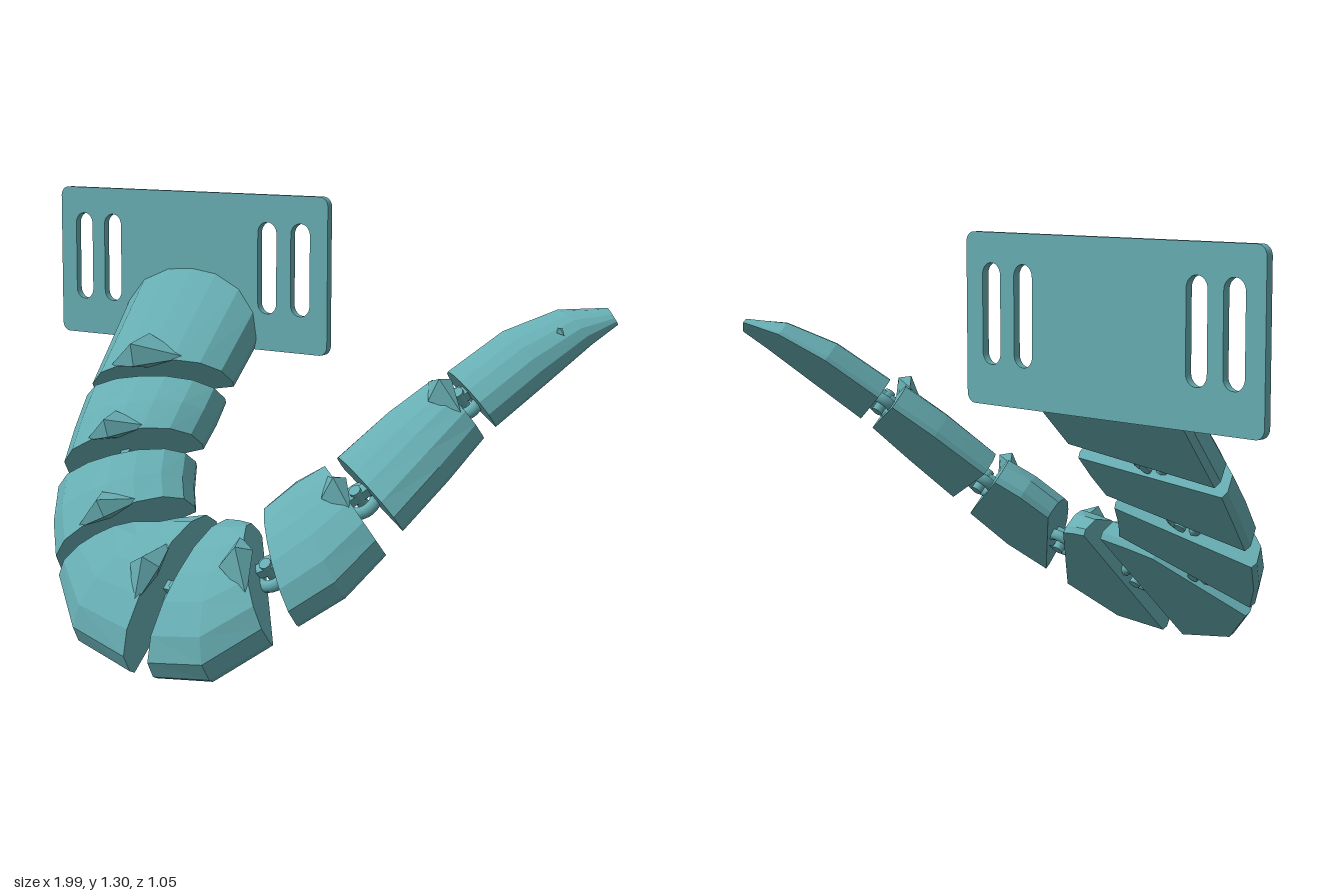
import * as THREE from 'three';
import { ConvexGeometry } from 'three/addons/geometries/ConvexGeometry.js';

const S2 = Math.SQRT2;
// arch cross-section from outer edge (-1) over the ridge to inner edge (+1), height 0..1
const ARCH = [[-0.97, 0], [-1, 0.14], [-0.94, 0.5], [-0.7, 0.8], [-0.32, 0.97], [0.04, 1],
  [0.4, 0.95], [0.74, 0.77], [0.95, 0.48], [1, 0.14], [0.97, 0]];

// tail pieces: stations of [outer x, outer y, inner x, inner y, ridge height]
const PIECES = [
  [[-0.72, 0.83, -0.18, 0.83, 0.17], [-0.67, 0.645, -0.18, 0.725, 0.165]],
  [[-0.67, 0.615, -0.175, 0.68, 0.155], [-0.635, 0.52, -0.165, 0.62, 0.165], [-0.6, 0.43, -0.165, 0.555, 0.16]],
  [[-0.575, 0.37, -0.155, 0.51, 0.145], [-0.51, 0.28, -0.115, 0.45, 0.155], [-0.43, 0.2, -0.07, 0.4, 0.15]],
  [[-0.38, 0.16, -0.145, 0.33, 0.14], [-0.22, 0.045, -0.06, 0.355, 0.15], [0.01, 0.005, 0.03, 0.375, 0.15]],
  [[0.095, 0.005, 0.1, 0.375, 0.14], [0.28, 0.025, 0.145, 0.375, 0.15], [0.41, 0.13, 0.19, 0.37, 0.15]],
  [[0.46, 0.18, 0.205, 0.42, 0.135], [0.56, 0.26, 0.26, 0.485, 0.14], [0.62, 0.37, 0.325, 0.53, 0.135]],
  [[0.635, 0.43, 0.345, 0.555, 0.12], [0.7, 0.56, 0.44, 0.675, 0.125], [0.745, 0.67, 0.53, 0.765, 0.12]],
  [[0.765, 0.7, 0.56, 0.795, 0.105], [0.86, 0.82, 0.67, 0.91, 0.1], [0.94, 0.925, 0.8, 0.985, 0.07],
    [0.99, 0.98, 0.94, 1.015, 0.025]],
];
const SPIKE_SCALE = [1, 0.78, 0.78, 0.8, 0.75, 0.6, 0.6];

// loft of arches with flat bottom and capped ends; the first end can lean to meet the plate
function loft(stations, lean) {
  const pos = [], idx = [], n = ARCH.length;
  stations.forEach(([ox, oy, ix, iy, h], s) => {
    for (const [t, k] of ARCH) {
      const f = (t + 1) / 2, w = k * h;
      pos.push(ox + (ix - ox) * f, (oy + (iy - oy) * f) * S2 + (lean && s === 0 ? w : 0), w);
    }
  });
  const last = stations.length - 1;
  for (let s = 0; s < last; s++) {
    for (let i = 0; i < n; i++) {
      const j = (i + 1) % n, a = s * n + i, b = s * n + j, c = a + n, d = b + n;
      idx.push(a, c, b, b, c, d);
    }
  }
  for (let i = 1; i < n - 1; i++) {
    idx.push(0, i, i + 1);
    idx.push(last * n, last * n + i + 1, last * n + i);
  }
  const g = new THREE.BufferGeometry();
  g.setAttribute('position', new THREE.Float32BufferAttribute(pos, 3));
  g.setIndex(idx);
  const flat = g.toNonIndexed();
  flat.computeVertexNormals();
  return flat;
}

// centre of a station on the flat underside
const centre = ([ox, oy, ix, iy]) => new THREE.Vector3((ox + ix) / 2, (oy + iy) * S2 / 2, 0);

// pointed tent-shaped barb overhanging the end of a piece
function barb(c, dir, h, s) {
  const side = new THREE.Vector3(-dir.y, dir.x, 0);
  const at = (along, across, up) => c.clone().addScaledVector(dir, along * s)
    .addScaledVector(side, across * s).setZ(h + up * s);
  return new ConvexGeometry([at(-0.02, 0.145, -0.03), at(-0.02, -0.145, -0.03), at(-0.1, 0, 0.015),
    at(0, 0, 0.085), at(0.05, 0, 0.035), at(-0.02, 0, -0.06)]);
}

function roundedRect(path, x0, y0, x1, y1, r) {
  path.moveTo(x0 + r, y0);
  path.lineTo(x1 - r, y0);
  path.absarc(x1 - r, y0 + r, r, -Math.PI / 2, 0);
  path.lineTo(x1, y1 - r);
  path.absarc(x1 - r, y1 - r, r, 0, Math.PI / 2);
  path.lineTo(x0 + r, y1);
  path.absarc(x0 + r, y1 - r, r, Math.PI / 2, Math.PI);
  path.lineTo(x0, y0 + r);
  path.absarc(x0 + r, y0 + r, r, Math.PI, Math.PI * 1.5);
  return path;
}

export function createModel() {
  const model = new THREE.Group();
  const teal = new THREE.MeshStandardMaterial({ color: 0x66adb2 });
  teal.name = 'teal';
  const add = (parent, geometry, name) => {
    const m = new THREE.Mesh(geometry, teal);
    m.name = name;
    parent.add(m);
    return m;
  };

  // belt plate with four strap slots
  const plate = roundedRect(new THREE.Shape(), -1, 0.83, 0.09, 1.315, 0.03);
  for (const x of [-0.935, -0.81, -0.175, -0.048]) {
    plate.holes.push(roundedRect(new THREE.Path(), x, 0.945, x + 0.072, 1.23, 0.034));
  }
  add(model, new THREE.ExtrudeGeometry(plate, { depth: 0.022, bevelEnabled: false, curveSegments: 6 }), 'beltPlate')
    .position.z = -0.352;

  // tail lies on a plane leaning back 45 degrees
  const tail = new THREE.Group();
  tail.name = 'tail';
  tail.rotation.x = -Math.PI / 4;
  tail.position.z = 0.5;
  model.add(tail);

  PIECES.forEach((stations, i) => {
    add(tail, loft(stations, i === 0), i === 7 ? 'tailTip' : 'tailSegment' + (i + 1));
    if (i === 7) return;
    const end = stations[stations.length - 1];
    const c = centre(end), next = centre(PIECES[i + 1][0]);

    // barb, pointing along the tail at right angles to the end face
    const dir = new THREE.Vector3(end[1] * S2 - end[3] * S2, end[2] - end[0], 0).normalize();
    if (dir.dot(next.clone().sub(c)) < 0) dir.negate();
    add(tail, barb(c, dir, end[4], SPIKE_SCALE[i]), 'barb' + (i + 1));

    // hinge: open ring with a pin and link
    const joint = new THREE.Group();
    joint.name = 'hinge' + (i + 1);
    joint.position.copy(c).add(next).multiplyScalar(0.5);
    joint.rotation.z = Math.atan2(dir.y, dir.x);
    tail.add(joint);
    const ring = add(joint, new THREE.TorusGeometry(0.045, 0.018, 8, 18, Math.PI * 1.6), 'hingeRing');
    ring.position.z = 0.035;
    ring.rotation.z = Math.PI * 0.2;
    const pin = add(joint, new THREE.CylinderGeometry(0.018, 0.018, 0.08, 10), 'hingePin');
    pin.rotation.x = Math.PI / 2;
    pin.position.z = 0.045;
    add(joint, new THREE.BoxGeometry(0.12, 0.03, 0.03), 'hingeLink').position.z = 0.06;
  });

  // tiny barb near the tip
  add(tail, barb(new THREE.Vector3(0.875, 1.29, 0), new THREE.Vector3(0.6, 0.8, 0), 0.078, 0.14), 'tipBarb');
  return model;
}
